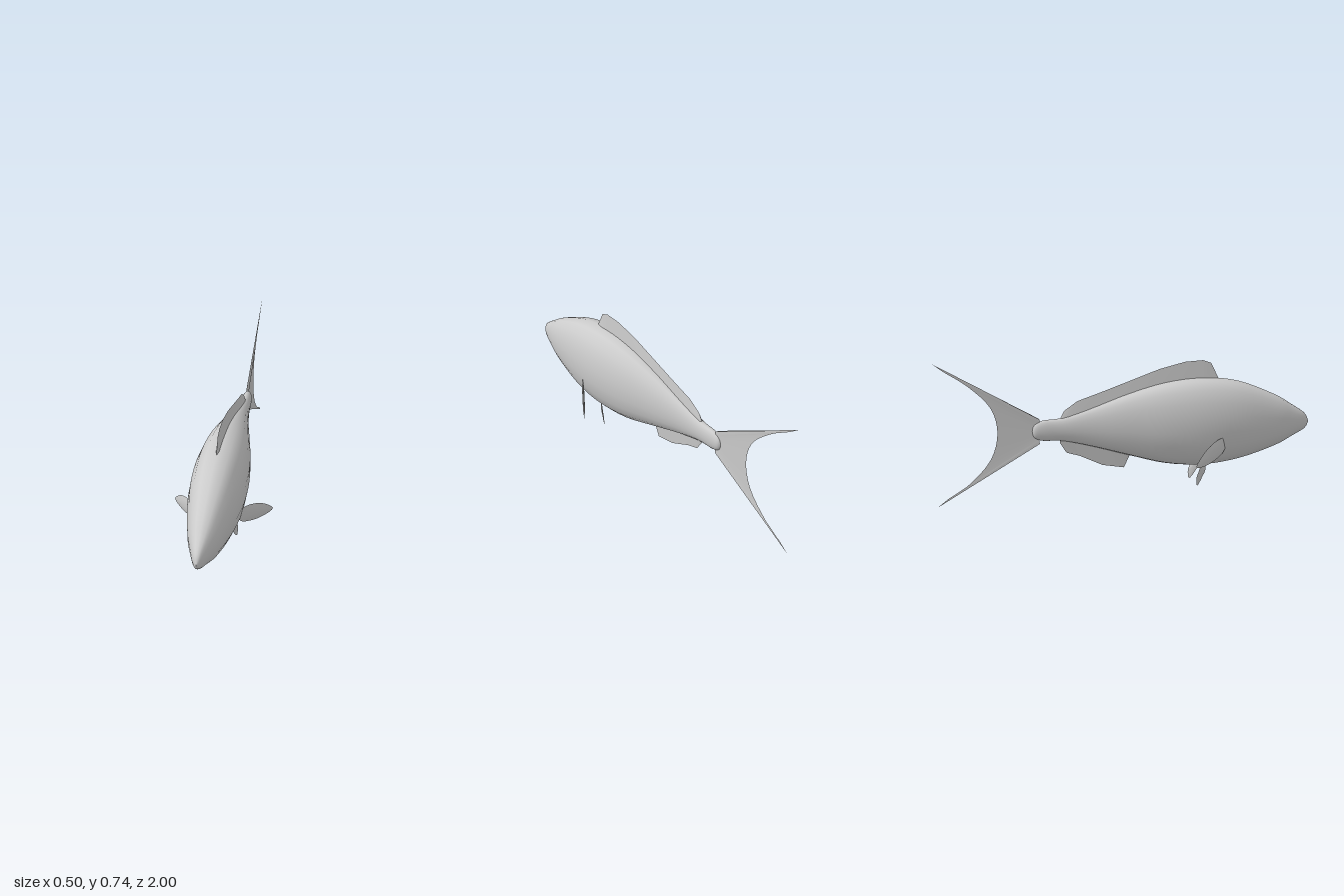
import * as THREE from 'three';
import { mergeVertices } from 'three/addons/utils/BufferGeometryUtils.js';

const V = (x, y, z) => new THREE.Vector3(x, y, z);
const bodyMaterial = new THREE.MeshStandardMaterial({ color: 0xcccccc });
const finMaterial = new THREE.MeshStandardMaterial({ color: 0xcccccc, side: THREE.DoubleSide });

// Smooth surface through rows of points, all rows of equal length
function sheet(rows) {
  const n = rows[0].length;
  const index = [];
  for (let i = 0; i < rows.length - 1; i++) {
    for (let j = 0; j < n - 1; j++) {
      const a = i * n + j, c = a + n;
      index.push(a, a + 1, c, a + 1, c + 1, c);
    }
  }
  const geometry = new THREE.BufferGeometry().setFromPoints(rows.flat());
  geometry.setIndex(index);
  const welded = mergeVertices(geometry, 1e-5);
  welded.computeVertexNormals();
  return welded;
}

function named(name, ...geometries) {
  const group = new THREE.Group();
  group.name = name;
  geometries.forEach((g) => group.add(new THREE.Mesh(g, finMaterial)));
  return group;
}

// Wedge-shaped fin on the middle plane: thick at the base, sharp at the edge; points are [z, y]
function medianFin(name, base, edge, thickness) {
  const sides = [1, -1].map((s) => sheet([
    base.map(([z, y]) => V(s * thickness, y, z)),
    edge.map(([z, y]) => V(0, y, z)),
  ]));
  return named(name, ...sides);
}

// Paired fin: a thin lens inside a closed outline of [x, y, z] points
function pairedFin(name, outline, side, thickness) {
  const ring = outline.map(([x, y, z]) => V(side * x, y, z));
  const curve = new THREE.CatmullRomCurve3(ring, true);
  const points = curve.getPoints(28);
  const centre = ring.reduce((sum, p) => sum.add(p), V(0, 0, 0)).divideScalar(ring.length);
  const normal = ring[2].clone().sub(centre).cross(ring[0].clone().sub(centre)).normalize();
  const halves = [1, -1].map((s) => {
    const rows = [0, 0.4, 0.75, 1].map((k) => points.map((p) =>
      p.clone().lerp(centre, k).addScaledVector(normal, s * thickness * Math.sqrt(1 - (1 - k) ** 2))));
    return sheet(rows);
  });
  return named(name, ...halves);
}

// Body stations from nose to tail root: [z, top, bottom, half width]
const stations = [
  [1.0, 0.36, 0.355, 0.001], [0.975, 0.405, 0.318, 0.022], [0.9, 0.456, 0.28, 0.051],
  [0.8, 0.515, 0.233, 0.082], [0.6, 0.595, 0.175, 0.122], [0.4, 0.622, 0.151, 0.136],
  [0.2, 0.606, 0.169, 0.122], [0, 0.555, 0.224, 0.086], [-0.2, 0.486, 0.283, 0.048],
  [-0.35, 0.441, 0.319, 0.03], [-0.45, 0.432, 0.325, 0.025], [-0.495, 0.412, 0.342, 0.019],
  [-0.51, 0.378, 0.374, 0.001],
];

function createBody() {
  const zCurve = new THREE.CatmullRomCurve3(stations.map((s) => V(s[0], 0, 0)), false, 'catmullrom');
  const size = new THREE.CatmullRomCurve3(stations.map((s) => V(s[1], s[2], s[3])), false, 'catmullrom');
  const rows = [];
  const steps = 48, sides = 18;
  for (let i = 0; i <= steps; i++) {
    const z = zCurve.getPoint(i / steps).x;
    const { x: top, y: bottom, z: width } = size.getPoint(i / steps);
    const row = [];
    for (let j = 0; j <= sides; j++) {
      const a = (j / sides) * Math.PI * 2;
      const sin = Math.sin(a);
      row.push(V(
        Math.sign(sin) * Math.abs(sin) ** 0.85 * width,
        (top + bottom) / 2 + Math.cos(a) * (top - bottom) / 2,
        z,
      ));
    }
    rows.push(row);
  }
  const body = new THREE.Mesh(sheet(rows), bodyMaterial);
  body.name = 'body';
  return body;
}

export function createModel() {
  const model = new THREE.Group();
  model.name = 'fish';
  model.add(createBody());

  // Long fin along the back
  model.add(medianFin('dorsalFin',
    [[0.485, 0.6], [0.45, 0.6], [0.4, 0.605], [0.3, 0.6], [0.165, 0.58], [-0.02, 0.53], [-0.155, 0.485], [-0.27, 0.45], [-0.34, 0.43], [-0.36, 0.425]],
    [[0.485, 0.618], [0.445, 0.697], [0.4, 0.713], [0.303, 0.708], [0.165, 0.675], [-0.02, 0.61], [-0.155, 0.563], [-0.27, 0.525], [-0.34, 0.477], [-0.362, 0.435]],
    0.009));

  // Shorter fin under the rear belly
  model.add(medianFin('analFin',
    [[0.005, 0.24], [-0.02, 0.25], [-0.14, 0.285], [-0.26, 0.315], [-0.33, 0.335], [-0.36, 0.34]],
    [[0.005, 0.222], [-0.025, 0.158], [-0.14, 0.178], [-0.26, 0.234], [-0.33, 0.255], [-0.365, 0.31]],
    0.006));

  // Forked tail with a curved rear edge
  const rear = new THREE.CatmullRomCurve3([
    [-1, 0.745], [-0.945, 0.703], [-0.83, 0.625], [-0.715, 0.504], [-0.685, 0.378],
    [-0.722, 0.24], [-0.845, 0.107], [-0.945, 0.045], [-1, 0.003],
  ].map(([z, y]) => V(0, y, z))).getPoints(32);
  model.add(medianFin('tailFin',
    rear.map((p, i) => [-0.47, THREE.MathUtils.lerp(0.44, 0.31, i / 32)]),
    rear.map((p) => [p.z, p.y]),
    0.006));

  // Side fins and belly fins, mirrored
  const pectoral = [
    [0.118, 0.315], [0.145, 0.317], [0.19, 0.292], [0.23, 0.247], [0.252, 0.203],
    [0.21, 0.196], [0.16, 0.213], [0.12, 0.245], [0.11, 0.28],
  ].map(([x, y]) => [x, y, 0.47 - (x - 0.13) * 1.42]);
  const pelvic = [
    [0.06, 0.178, 0.4], [0.061, 0.14, 0.405], [0.064, 0.1, 0.387], [0.078, 0.055, 0.354],
    [0.083, 0.1, 0.349], [0.082, 0.13, 0.36], [0.074, 0.17, 0.378],
  ];
  for (const [side, label] of [[1, 'left'], [-1, 'right']]) {
    model.add(pairedFin(label + 'PectoralFin', pectoral, side, 0.006));
    model.add(pairedFin(label + 'PelvicFin', pelvic, side, 0.003));
  }
  return model;
}
